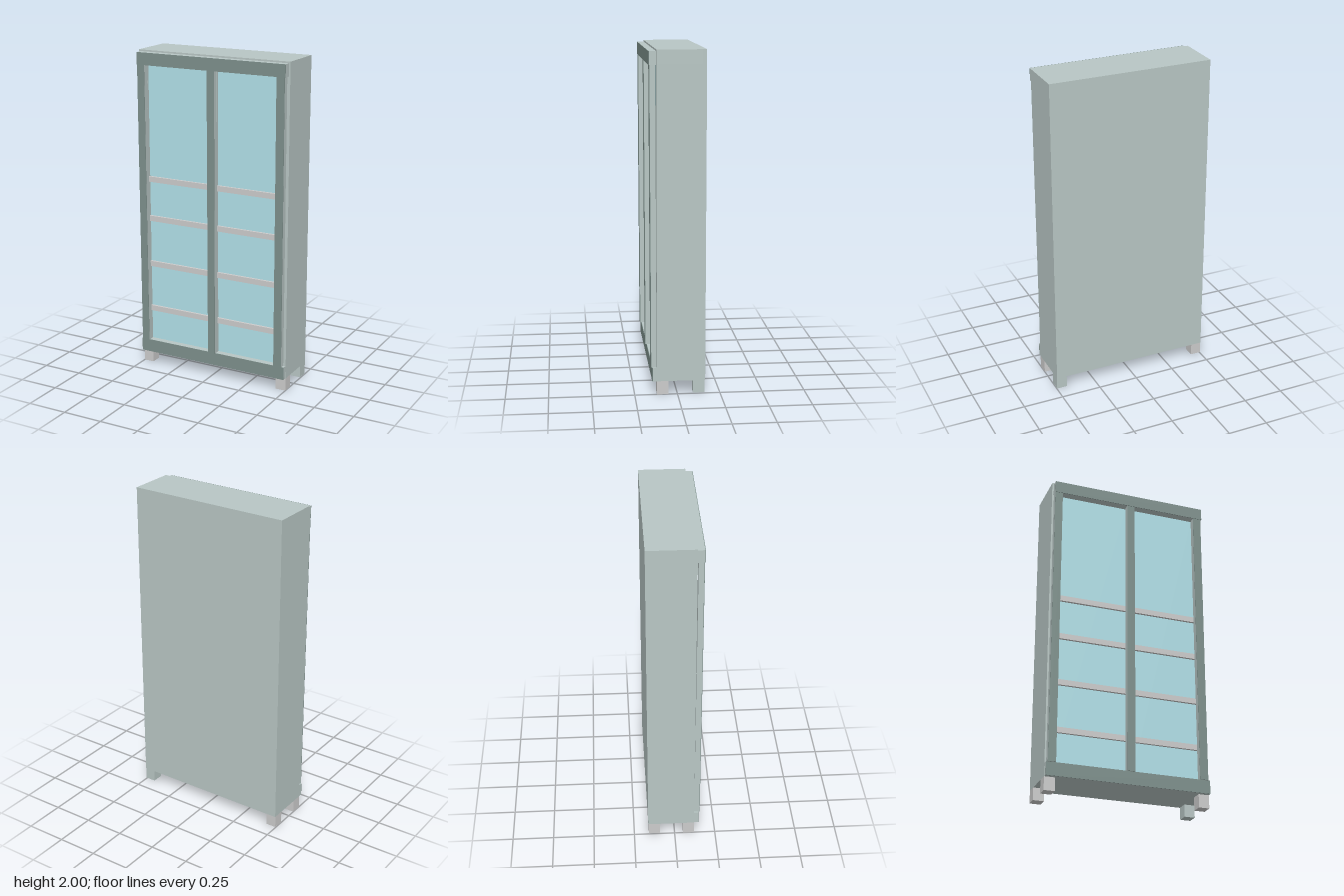
import * as THREE from 'three';

export function createModel() {
  const model = new THREE.Group();
  const grey = new THREE.MeshStandardMaterial({ color: 0xcccccc });
  const body = new THREE.MeshStandardMaterial({ color: 0xb8c6c4 });
  const dark = new THREE.MeshStandardMaterial({ color: 0x7d8f8b });
  const glass = new THREE.MeshStandardMaterial({ color: 0xb1e0e8 });

  // box given by its extents along each axis
  function box(name, material, [x0, x1], [y0, y1], [z0, z1], parent = model) {
    const mesh = new THREE.Mesh(new THREE.BoxGeometry(x1 - x0, y1 - y0, z1 - z0), material);
    mesh.position.set((x0 + x1) / 2, (y0 + y1) / 2, (z0 + z1) / 2);
    mesh.name = name;
    parent.add(mesh);
    return mesh;
  }

  // trim strip with a darker front face
  function trim(name, x, y, z1) {
    const group = new THREE.Group();
    group.name = name;
    box(name + 'Core', body, x, y, [0.12, z1 - 0.003], group);
    box(name + 'Face', dark, x, y, [z1 - 0.003, z1], group);
    model.add(group);
    return group;
  }

  // cabinet carcass
  box('backPanel', body, [-0.5, 0.5], [0.08, 2], [-0.163, -0.14]);
  box('topPanel', body, [-0.5, 0.5], [1.92, 2], [-0.14, 0.12]);
  box('bottomPanel', body, [-0.5, 0.5], [0.08, 0.16], [-0.14, 0.12]);
  box('rightSide', body, [-0.5, -0.445], [0.16, 1.92], [-0.14, 0.12]);
  box('leftSide', body, [0.44, 0.5], [0.16, 1.92], [-0.14, 0.12]);
  box('divider', body, [-0.01, 0.03], [0.16, 1.92], [-0.14, 0.12]);

  // glazed bays and shelves
  const bays = [[-0.445, -0.01], [0.03, 0.44]];
  for (const bay of bays) {
    box('glassPanel', glass, bay, [0.16, 1.92], [0.095, 0.105]);
    for (const y of [0.35, 0.645, 0.94, 1.19]) {
      box('shelf', grey, bay, [y, y + 0.034], [-0.14, 0.12]);
    }
  }

  // front rails
  trim('topRail', [-0.49, 0.49], [1.915, 1.99], 0.163);
  trim('bottomRail', [-0.498, 0.498], [0.08, 0.16], 0.147);

  // front stiles, leaning very slightly forward
  for (const [name, x] of [
    ['rightStile', [-0.49, -0.442]],
    ['centreStile', [-0.016, 0.032]],
    ['leftStile', [0.433, 0.484]],
  ]) {
    const stile = trim(name, x, [0.16, 1.917], 0.154);
    stile.rotation.x = 0.003;
  }

  // feet; the left back one carries the side finish
  for (const x of [[-0.5, -0.435], [0.435, 0.5]]) {
    box('frontFoot', grey, x, [0, 0.08], [0.052, 0.12]);
    box('backFoot', x[0] > 0 ? body : grey, x, [0.005, 0.08], [-0.16, -0.092]);
  }
  return model;
}
